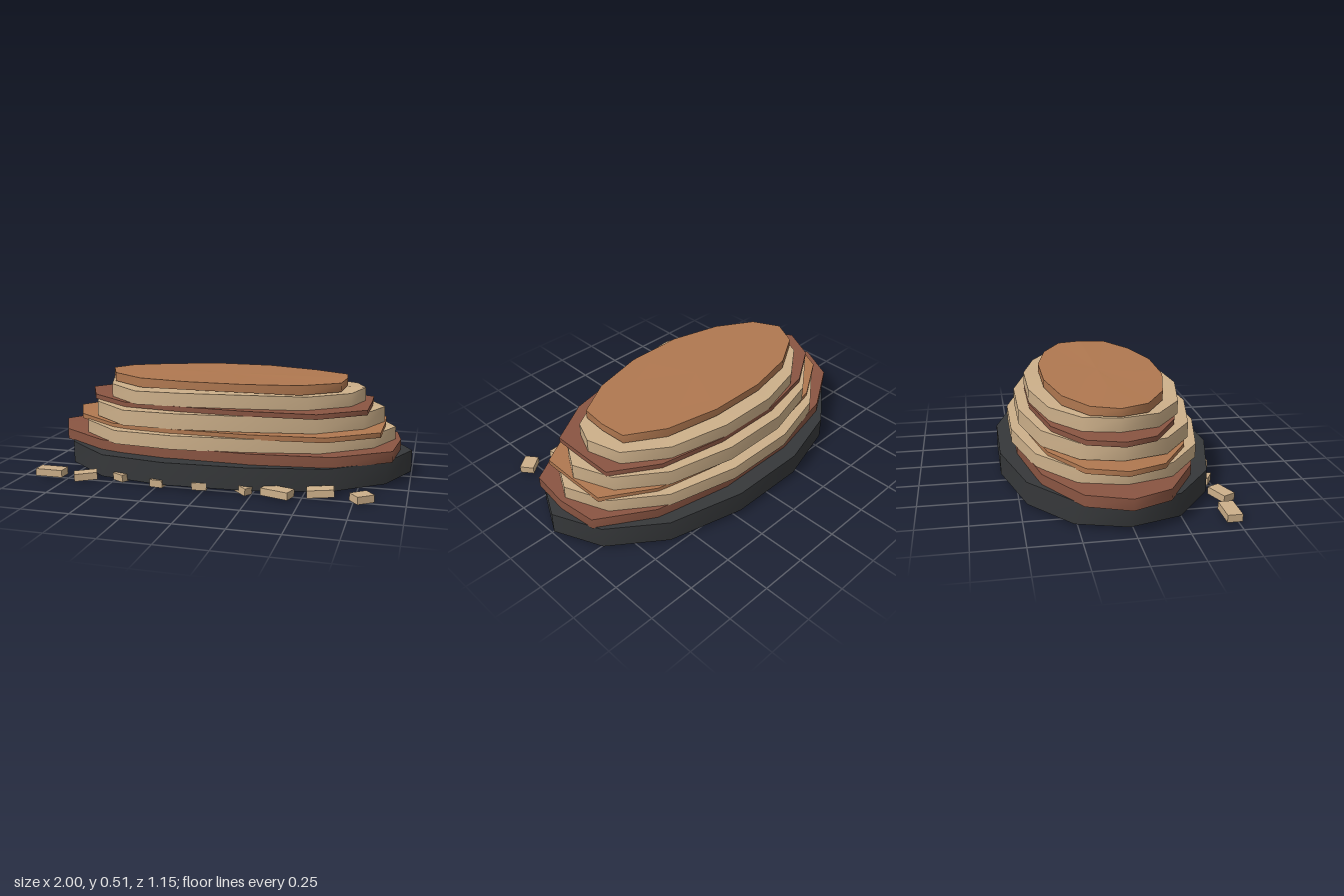
import * as THREE from 'three';

const mat = (name, color) => {
  const m = new THREE.MeshStandardMaterial({ color });
  m.name = name;
  return m;
};

// One slab: a 14-sided oval with uneven reach on each side and a gently wavy rim
function slabGeometry({ y0, y1, left, right, back, front, tip = 1, skew = 0, wave = 0.008, topWave = wave }) {
  const geo = new THREE.CylinderGeometry(1, 1, 1, 14, 1, false, Math.PI / 2);
  const pos = geo.attributes.position;
  const midZ = -0.02;
  for (let i = 0; i < pos.count; i++) {
    const x = pos.getX(i), y = pos.getY(i), z = pos.getZ(i);
    const rim = Math.hypot(x, z);
    const angle = Math.atan2(z, x);
    const reachX = x > 0 ? right : left;
    const reachZ = (z > 0 ? front - midZ : back + midZ) / 0.975;
    const dent = x > 0.97 ? tip : 1;
    const lift = rim * Math.cos(4 * angle) * (y > 0 ? topWave : wave);
    pos.setXYZ(i,
      x * reachX * dent,
      (y > 0 ? y1 : y0) + lift,
      midZ + z * reachZ * (z > 0 ? 1 + skew * x : 1));
  }
  geo.computeVertexNormals();
  return geo;
}

export function createModel() {
  const group = new THREE.Group();
  const charcoal = mat('charcoal', 0x36383a);
  const darkBrown = mat('dark brown', 0x8a5542);
  const lightBrown = mat('light brown', 0xb07850);
  const beige = mat('beige', 0xcdb08a);

  // Stacked layers, bottom to top
  const layers = [
    ['baseLayer', charcoal, { y0: 0.02, y1: 0.138, left: 0.93, right: 0.98, back: 0.573, front: 0.53, tip: 1.02, skew: -0.08 }],
    ['lowerDarkLayer', darkBrown, { y0: 0.135, y1: 0.193, left: 1.0, right: 1.01, back: 0.485, front: 0.455, tip: 0.93, skew: 0.06 }],
    ['lowerPaleLayer', beige, { y0: 0.19, y1: 0.262, left: 0.84, right: 0.9, back: 0.51, front: 0.455, tip: 1.01, skew: -0.15 }],
    ['lowerTanLayer', lightBrown, { y0: 0.257, y1: 0.283, left: 0.9, right: 0.94, back: 0.44, front: 0.425, tip: 0.91, skew: 0.05 }],
    ['middlePaleLayer', beige, { y0: 0.285, y1: 0.367, left: 0.78, right: 0.84, back: 0.47, front: 0.41, tip: 1.01, skew: -0.18 }],
    ['upperDarkLayer', darkBrown, { y0: 0.368, y1: 0.394, left: 0.82, right: 0.86, back: 0.41, front: 0.385, tip: 0.91, skew: 0.1 }],
    ['upperPaleLayer', beige, { y0: 0.394, y1: 0.465, left: 0.69, right: 0.76, back: 0.412, front: 0.36, tip: 0.98, skew: -0.2 }],
    ['topLayer', lightBrown, { y0: 0.471, y1: 0.517, left: 0.69, right: 0.7, back: 0.33, front: 0.308, tip: 0.925, topWave: 0.003 }],
  ];
  for (const [name, material, shape] of layers) {
    const slab = new THREE.Mesh(slabGeometry(shape), material);
    slab.name = name;
    group.add(slab);
  }

  // Loose chips along the front: x, z, width, depth, turn, tilt
  const chips = [
    [-0.855, 0.48, 0.15, 0.075, 0, 0],
    [-0.65, 0.5, 0.12, 0.07, 0.45, 0.05],
    [-0.46, 0.475, 0.075, 0.045, -0.5, 0],
    [-0.24, 0.515, 0.07, 0.06, -0.1, 0],
    [-0.02, 0.505, 0.075, 0.06, 0.1, 0],
    [0.205, 0.505, 0.08, 0.05, -0.6, -0.15],
    [0.38, 0.515, 0.15, 0.075, -0.3, 0],
    [0.585, 0.455, 0.135, 0.075, 0.13, 0.08],
    [0.79, 0.49, 0.095, 0.075, 0.65, 0],
  ];
  const chipGroup = new THREE.Group();
  chipGroup.name = 'looseChips';
  chips.forEach(([x, z, w, d, turn, tilt]) => {
    const chip = new THREE.Mesh(new THREE.BoxGeometry(w, 0.038, d), beige);
    chip.name = 'chip';
    chip.position.set(x, 0.03, z);
    chip.rotation.set(0, turn, tilt);
    chipGroup.add(chip);
  });
  group.add(chipGroup);
  return group;
}
